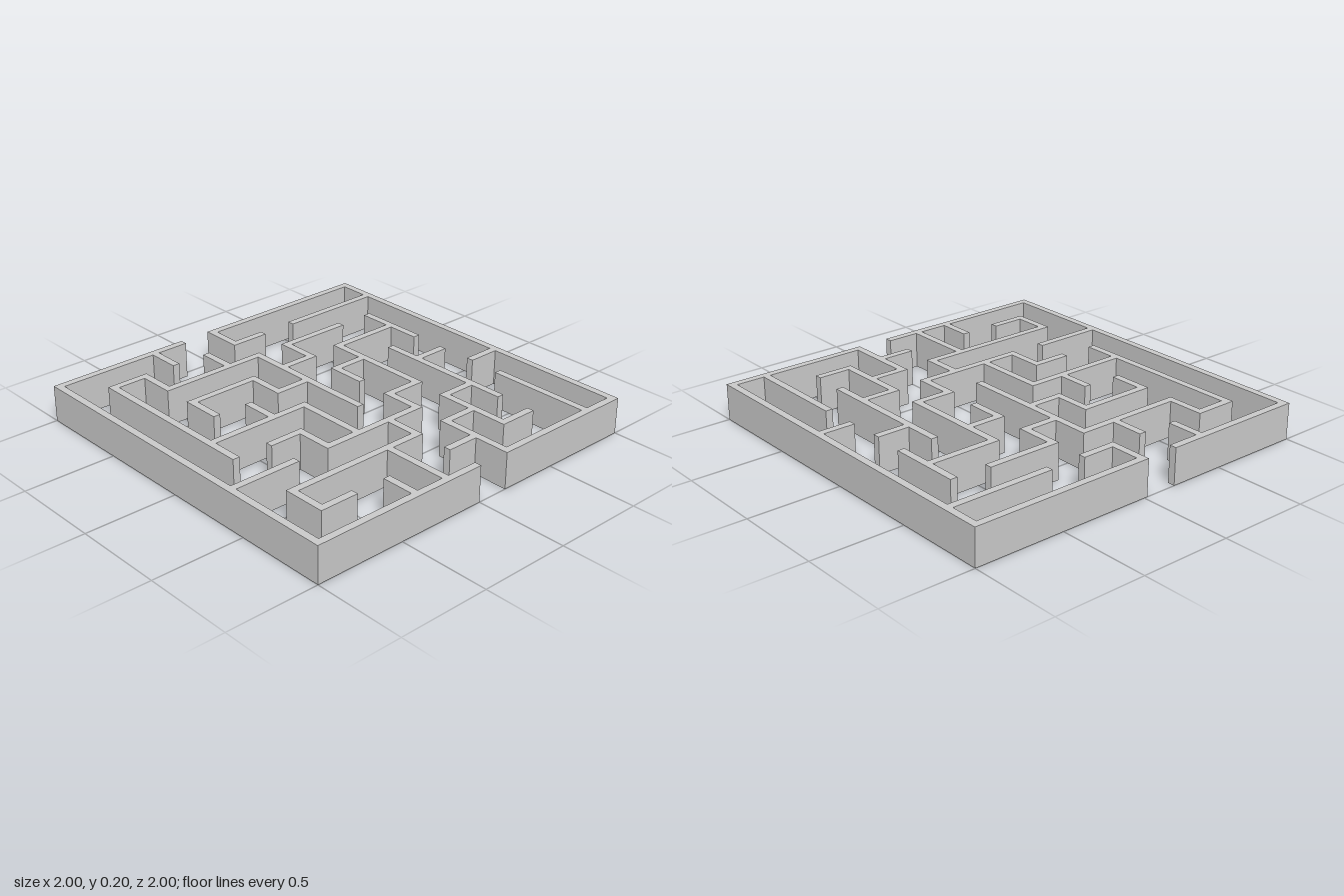
import * as THREE from 'three';

const CELLS = 10;
const PITCH = 2 / (CELLS + 0.2); // distance between grid lines
const WALL = 0.2 * PITCH;        // wall thickness
const HEIGHT = PITCH;

// Walls running along x: per grid row, [from, to] column pairs
const ROWS = [
  [[0, 4], [5, 10]],
  [[1, 2], [5, 6], [7, 10]],
  [[2, 5], [6, 8]],
  [[2, 4], [5, 6], [7, 9]],
  [[4, 5], [6, 7]],
  [[1, 4], [8, 9]],
  [[2, 3], [6, 7], [9, 10]],
  [[0, 2], [3, 6], [7, 8]],
  [[1, 5], [6, 7]],
  [[1, 2], [5, 6], [7, 8]],
  [[0, 5], [6, 10]],
];

// Walls running along z: per grid column, [from, to] row pairs
const COLUMNS = [
  [[0, 10]],
  [[1, 6], [8, 9]],
  [[1, 2], [3, 4]],
  [[0, 1], [4, 5], [6, 7], [9, 10]],
  [[1, 2], [3, 4], [5, 7], [8, 10]],
  [[0, 1], [2, 6], [7, 8]],
  [[2, 3], [4, 5], [6, 7], [8, 10]],
  [[3, 6], [7, 9]],
  [[4, 8]],
  [[2, 4], [7, 10]],
  [[0, 10]],
];

const passes = (runs, k) => runs.some(([a, b]) => a < k && k < b);
const touches = (runs, k) => runs.some(([a, b]) => a <= k && k <= b);
const gridPos = (k) => (k - CELLS / 2) * PITCH;

export function createModel() {
  const maze = new THREE.Group();
  maze.name = 'maze';
  const material = new THREE.MeshStandardMaterial({ color: 0xcccccc, flatShading: true });

  function addWall(name, x0, x1, z0, z1) {
    const wall = new THREE.Mesh(new THREE.BoxGeometry(x1 - x0, HEIGHT, z1 - z0), material);
    wall.position.set((x0 + x1) / 2, HEIGHT / 2, (z0 + z1) / 2);
    wall.name = name;
    maze.add(wall);
  }
  const isOuter = (k) => k === 0 || k === CELLS;

  // Cross walls fill their corners, butt against walls that run past, and stop on the node when free
  ROWS.forEach((runs, row) => runs.forEach(([a, b]) => {
    const extra = (col) => passes(COLUMNS[col], row) ? -WALL / 2
      : touches(COLUMNS[col], row) ? WALL / 2 : 0;
    const z = gridPos(row);
    addWall(isOuter(row) ? 'outerCrossWall' : 'innerCrossWall',
      gridPos(a) - extra(a), gridPos(b) + extra(b), z - WALL / 2, z + WALL / 2);
  }));

  // Lengthwise walls butt against the cross walls they meet at their ends
  COLUMNS.forEach((runs, col) => runs.forEach(([a, b]) => {
    const trim = (row) => touches(ROWS[row], col) ? WALL / 2 : 0;
    const x = gridPos(col);
    addWall(isOuter(col) ? 'outerSideWall' : 'innerLengthWall',
      x - WALL / 2, x + WALL / 2, gridPos(a) + trim(a), gridPos(b) - trim(b));
  }));

  return maze;
}
